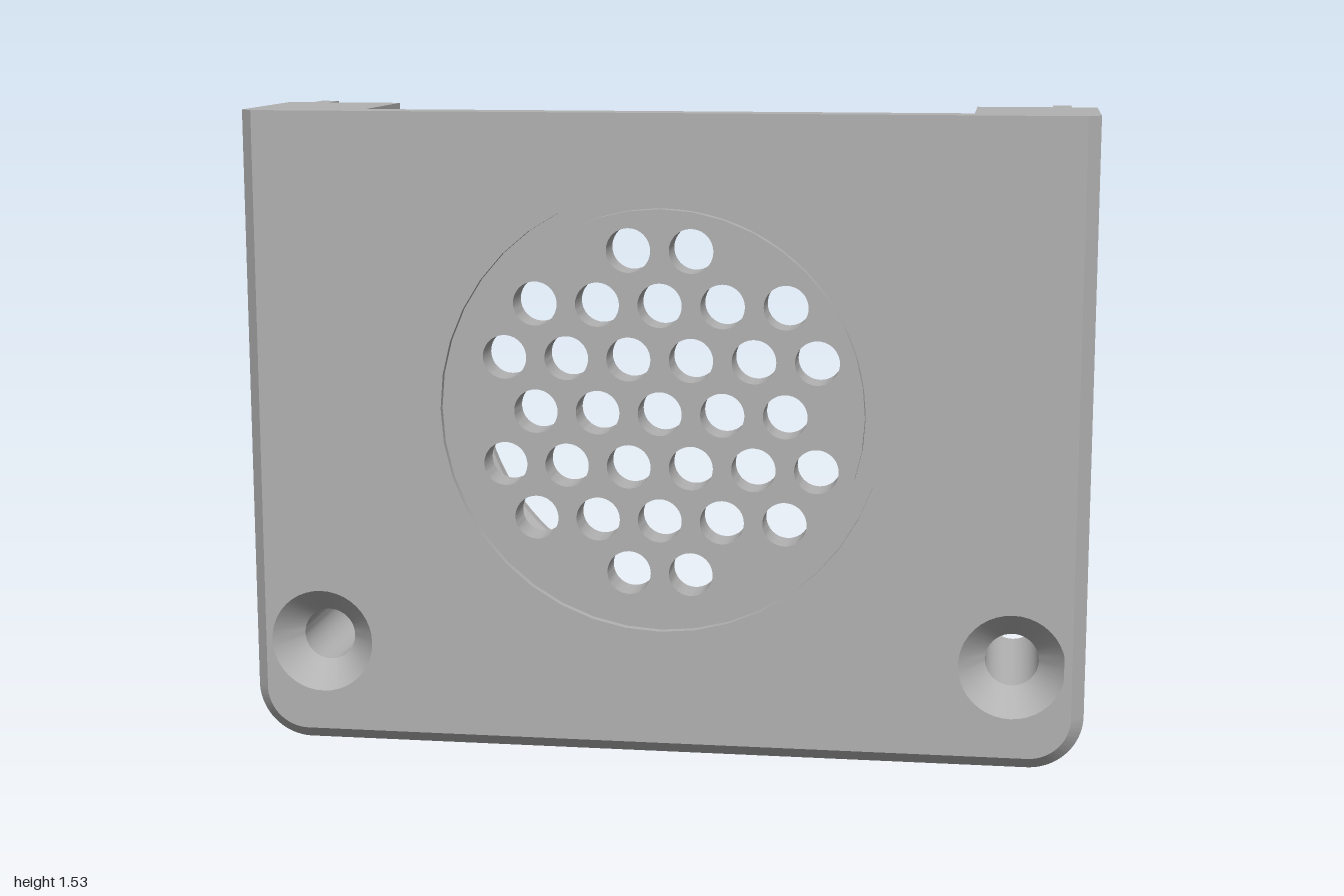
import * as THREE from 'three';
import { toCreasedNormals } from 'three/addons/utils/BufferGeometryUtils.js';

const H = 1.53, CY = 0.83;                 // case height, grille centre
const FRONT = 0.3, CHAMFER = 0.27, INNER = 0.21, RIM = -0.105, LIP = -0.188;
const SCREW = [0.83, 0.25], PIN = [0.825, 1.37];

// Plate outline with rounded bottom corners and square top corners
function outline(w, bottom, r) {
  const s = new THREE.Shape();
  s.moveTo(-w, H);
  s.lineTo(-w, bottom + r);
  s.absarc(-w + r, bottom + r, r, Math.PI, Math.PI * 1.5, false);
  s.absarc(w - r, bottom + r, r, Math.PI * 1.5, Math.PI * 2, false);
  s.lineTo(w, H);
  s.closePath();
  return s;
}

// U-shaped wall between an outer outline and the inner cavity
function uShape(w, bottom, r, iw, ib, ir) {
  const s = new THREE.Shape();
  s.moveTo(-w, H);
  s.lineTo(-w, bottom + r);
  s.absarc(-w + r, bottom + r, r, Math.PI, Math.PI * 1.5, false);
  s.absarc(w - r, bottom + r, r, Math.PI * 1.5, Math.PI * 2, false);
  s.lineTo(w, H);
  s.lineTo(iw, H);
  s.lineTo(iw, ib + ir);
  s.absarc(iw - ir, ib + ir, ir, 0, -Math.PI / 2, true);
  s.absarc(-iw + ir, ib + ir, ir, -Math.PI / 2, -Math.PI, true);
  s.lineTo(-iw, H);
  s.closePath();
  return s;
}

const circle = (x, y, r) => new THREE.Path().absarc(x, y, r, 0, Math.PI * 2, false);

function extrude(shape, z0, z1) {
  const g = new THREE.ExtrudeGeometry(shape, { depth: z1 - z0, bevelEnabled: false, curveSegments: 20 });
  return g.translate(0, 0, z0);
}

// Profile of [radius, distance toward the back] turned around the z axis
function turned(points, x, y) {
  const g = new THREE.LatheGeometry(points.map(p => new THREE.Vector2(...p)), 40);
  return g.rotateX(-Math.PI / 2).translate(x, y, 0);
}

// Vent hole centres in staggered rows
function ventCentres() {
  const list = [];
  [2, 5, 6, 5, 6, 5, 2].forEach((n, row) => {
    for (let i = 0; i < n; i++) list.push([(i - (n - 1) / 2) * 0.1475, CY + (3 - row) * 0.1277]);
  });
  return list;
}

export function createModel() {
  const group = new THREE.Group();
  const grey = new THREE.MeshStandardMaterial({ color: 0xb2b2b2 });
  const add = (name, geometry) => {
    const mesh = new THREE.Mesh(toCreasedNormals(geometry, 0.5), grey);
    mesh.name = name;
    group.add(mesh);
  };
  const vents = () => ventCentres().map(([x, y]) => circle(x, y, 0.052));
  const sinks = () => [-1, 1].map(s => circle(s * SCREW[0], SCREW[1], 0.125));

  // Perforated base layer of the front panel
  const panel = outline(1, 0, 0.13);
  panel.holes.push(...vents(), ...sinks());
  add('frontPanel', extrude(panel, INNER, CHAMFER));

  // Front skin: side and bottom edges pulled in to form the chamfer
  const skin = outline(1, 0, 0.13);
  skin.holes.push(circle(0, CY, 0.525), ...sinks());
  const skinGeo = extrude(skin, CHAMFER, FRONT);
  const p = skinGeo.attributes.position;
  for (let i = 0; i < p.count; i++) {
    if (p.getZ(i) < FRONT - 0.001) continue;
    const x = p.getX(i), y = p.getY(i);
    const qx = Math.max(-0.87, Math.min(0.87, x)), qy = Math.max(0.13, y);
    if (Math.hypot(x - qx, y - qy) < 0.125) continue;
    const k = 0.1 / 0.13;
    p.setXY(i, qx + (x - qx) * k, qy + (y - qy) * k);
  }
  add('frontSkin', skinGeo);

  // Grille disc set inside a shallow ring groove
  const disc = new THREE.Shape().absarc(0, CY, 0.48, 0, Math.PI * 2, false);
  disc.holes.push(...vents());
  add('grilleDisc', extrude(disc, CHAMFER, FRONT));
  add('grooveFloor', new THREE.RingGeometry(0.48, 0.525, 80).translate(0, CY, 0.28));

  // Side and bottom walls with the stepped lip
  add('outerWall', extrude(uShape(1, 0, 0.13, 0.895, 0.11, 0.04), RIM, INNER));
  add('lip', extrude(uShape(0.94, 0.065, 0.075, 0.895, 0.11, 0.04), LIP, RIM));

  for (const s of [-1, 1]) {
    const side = s > 0 ? 'left' : 'right';

    // Top corner post with sloping underside
    const post = new THREE.Shape([[0.715, H], [0.715, 1.23], [0.9, 1.04], [0.9, H]]
      .map(([x, y]) => new THREE.Vector2(s * x, y)));
    add(side + 'Post', extrude(post, RIM, INNER));

    // Locating pin with chamfered tip
    add(side + 'Pin', turned([[0.053, 0.1], [0.053, 0.278], [0.033, 0.3], [0, 0.3]], s * PIN[0], PIN[1]));

    // Hollow screw boss with countersink
    add(side + 'ScrewBoss', turned([[0.127, -INNER], [0.11, -INNER], [0.11, 0.19], [0.063, 0.19],
      [0.063, -0.23], [0.125, -FRONT]], s * SCREW[0], SCREW[1]));

    // Gusset joining the boss to the side wall
    const pts = [[0.72, 0.25], [0.72, 0.39], [0.9, 0.57]];
    for (let i = 0; i <= 10; i++) {
      const a = 0.79 + (Math.PI - 0.79) * i / 10;
      pts.push([SCREW[0] + 0.1 * Math.cos(a), SCREW[1] + 0.1 * Math.sin(a)]);
    }
    const gusset = new THREE.Shape(pts.map(([x, y]) => new THREE.Vector2(s * x, y)));
    add(side + 'BossGusset', extrude(gusset, RIM, INNER));
  }

  // Four curved retaining clips: hooked profile swept around the grille axis
  const profile = new THREE.Shape([[0.575, INNER], [0.64, INNER], [0.64, -0.222], [0.575, -0.222],
    [0.53, -0.17], [0.53, -0.14], [0.575, -0.085]].map(q => new THREE.Vector2(...q)));
  for (const start of [10, 131.4, 190, 311.4]) {
    const g = new THREE.ExtrudeGeometry(profile, { depth: 1, steps: 14, bevelEnabled: false });
    const v = g.attributes.position;
    for (let i = 0; i < v.count; i++) {
      const a = THREE.MathUtils.degToRad(start + 38.6 * (1 - v.getZ(i)));
      const r = v.getX(i);
      v.setXYZ(i, r * Math.cos(a), CY + r * Math.sin(a), v.getY(i));
    }
    add('retainingClip', g);
  }

  return group;
}
